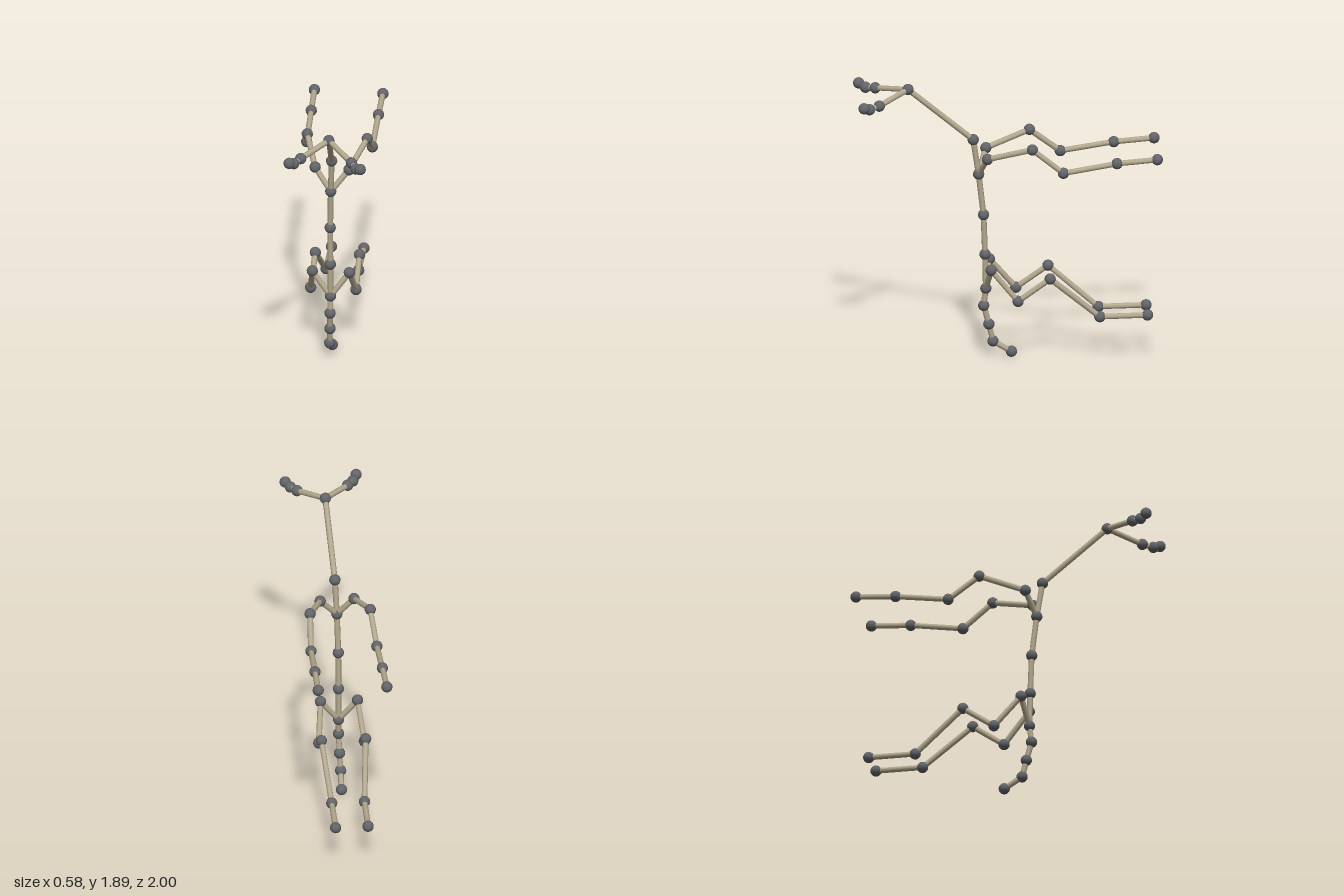
import * as THREE from 'three';

const JOINT_RADIUS = 0.037, BONE_RADIUS = 0.019;

// Joint positions, each chain running outward from the body
const neckBase = [-0.023, 1.26, 0.19];
const pelvis = [-0.03, 0.476, 0.143];
const headBase = [0.015, 1.86, 0.652];

const chains = {
  spine: [pelvis, [-0.03, 0.709, 0.148], [-0.03, 0.98, 0.158], neckBase, [-0.013, 1.5, 0.226], headBase],
  tail: [pelvis, [-0.031, 0.358, 0.157], [-0.035, 0.229, 0.123], [-0.04, 0.111, 0.096], [-0.036, 0.04, -0.024]],
  leftHead: [headBase, [0.184, 1.804, 0.848], [0.222, 1.793, 0.913], [0.253, 1.81, 0.95]],
  rightHead: [headBase, [-0.147, 1.822, 0.858], [-0.186, 1.814, 0.92], [-0.211, 1.836, 0.963]],
  leftForelimb: [neckBase, [0.09, 1.397, 0.138], [0.179, 1.486, -0.15], [0.19, 1.327, -0.352], [0.192, 1.388, -0.701], [0.192, 1.411, -0.964]],
  rightForelimb: [neckBase, [-0.131, 1.405, 0.138], [-0.214, 1.499, -0.15], [-0.24, 1.342, -0.352], [-0.248, 1.395, -0.701], [-0.256, 1.415, -0.964]],
  leftHindlimb: [pelvis, [0.09, 0.637, 0.114], [0.115, 0.43, -0.06], [0.115, 0.58, -0.269], [0.074, 0.303, -0.595], [0.074, 0.31, -0.906]],
  rightHindlimb: [pelvis, [-0.152, 0.637, 0.114], [-0.182, 0.43, -0.06], [-0.174, 0.58, -0.269], [-0.14, 0.303, -0.595], [-0.138, 0.31, -0.906]],
};

export function createModel() {
  const model = new THREE.Group();
  model.name = 'skeletonRig';
  const jointMaterial = new THREE.MeshStandardMaterial({ color: 0x626468 });
  const boneMaterial = new THREE.MeshStandardMaterial({ color: 0xb5aa90 });
  const jointGeometry = new THREE.SphereGeometry(JOINT_RADIUS, 16, 12);
  const up = new THREE.Vector3(0, 1, 0);

  // Ball at a joint
  function addJoint(group, name, point) {
    const joint = new THREE.Mesh(jointGeometry, jointMaterial);
    joint.name = name;
    joint.position.copy(point);
    group.add(joint);
  }

  // Straight rod between two joints
  function addBone(group, name, from, to) {
    const along = to.clone().sub(from);
    const geometry = new THREE.CylinderGeometry(BONE_RADIUS, BONE_RADIUS, along.length(), 8);
    const bone = new THREE.Mesh(geometry, boneMaterial);
    bone.name = name;
    bone.position.copy(from).addScaledVector(along, 0.5);
    bone.quaternion.setFromUnitVectors(up, along.normalize());
    group.add(bone);
  }

  for (const [name, coords] of Object.entries(chains)) {
    const group = new THREE.Group();
    group.name = name;
    const points = coords.map((c) => new THREE.Vector3(...c));
    points.forEach((point, i) => {
      // Branches share their first joint with the spine
      if (i > 0 || name === 'spine') addJoint(group, `${name}Joint${i}`, point);
      if (i > 0) addBone(group, `${name}Bone${i}`, points[i - 1], point);
    });
    model.add(group);
  }
  return model;
}
